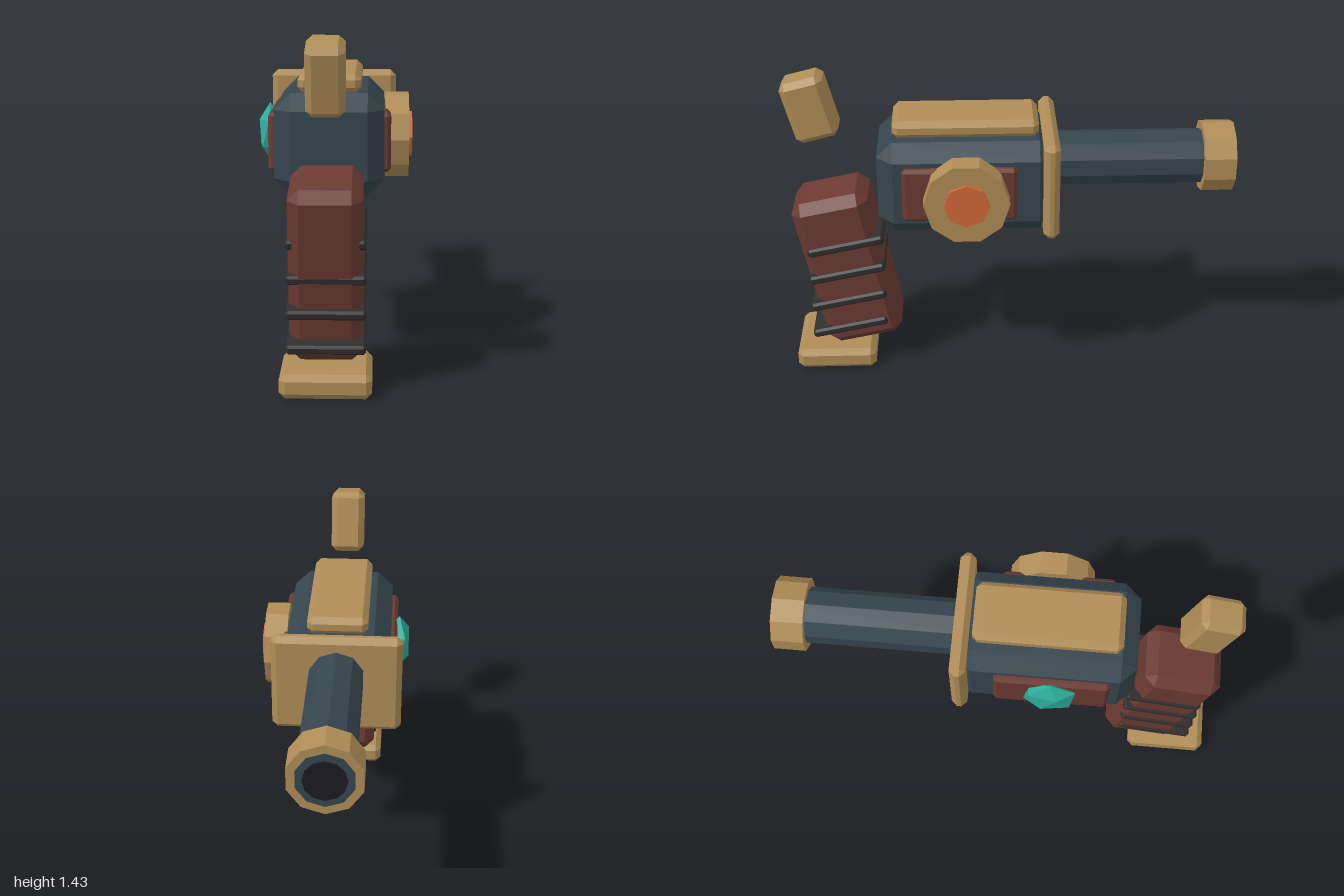
import * as THREE from 'three';
import { ConvexGeometry } from 'three/addons/geometries/ConvexGeometry.js';

const material = (name, color) => {
  const m = new THREE.MeshStandardMaterial({ color });
  m.name = name;
  return m;
};

// Box with every edge and corner cut at 45 degrees
function chamferBox(w, h, d, c) {
  const [x, y, z] = [w / 2, h / 2, d / 2];
  const pts = [];
  for (const i of [-1, 1]) for (const j of [-1, 1]) for (const k of [-1, 1]) {
    pts.push(
      new THREE.Vector3(i * x, j * (y - c), k * (z - c)),
      new THREE.Vector3(i * (x - c), j * y, k * (z - c)),
      new THREE.Vector3(i * (x - c), j * (y - c), k * z)
    );
  }
  return new ConvexGeometry(pts);
}

// Faceted cylinder along x or z
function prism(radius, length, sides, axis) {
  const g = new THREE.CylinderGeometry(radius, radius, length, sides).toNonIndexed();
  if (axis === 'z') g.rotateX(Math.PI / 2);
  else g.rotateZ(-Math.PI / 2);
  g.computeVertexNormals();
  return g;
}

export function createModel() {
  const steel = material('blue steel', 0x36454f);
  const brass = material('brass', 0xb08d57);
  const leather = material('red brown', 0x6b3a32);
  const strap = material('dark strap', 0x302e2d);
  const glow = material('orange', 0xd2693a);
  const jewel = material('teal', 0x2cae9c);
  const black = material('bore black', 0x1a1a22);

  const model = new THREE.Group();
  model.name = 'pistol';
  const CX = -0.021;
  const add = (name, geometry, mat, x, y, z, tilt = 0) => {
    const mesh = new THREE.Mesh(geometry, mat);
    mesh.name = name;
    mesh.position.set(x, y, z);
    mesh.rotation.x = tilt;
    model.add(mesh);
    return mesh;
  };

  // Receiver with top rail and barrel plate
  add('body', chamferBox(0.46, 0.43, 0.78, 0.07), steel, CX, 0.945, 0.2);
  add('topRail', chamferBox(0.265, 0.08, 0.64, 0.025), brass, CX, 1.197, 0.2);
  add('barrelPlate', chamferBox(0.57, 0.455, 0.07, 0.025), brass, CX, 0.957, -0.17);

  // Barrel, muzzle ring and bore
  add('barrel', prism(0.123, 0.843, 10, 'z'), steel, CX, 1.0, -0.5715);
  add('muzzleRing', prism(0.16, 0.14, 10, 'z'), brass, CX, 1.0, -0.92);
  add('bore', prism(0.09, 0.03, 12, 'z'), black, CX, 1.0, -0.984);

  // Side panels
  for (const s of [-1, 1]) {
    add(s > 0 ? 'leftPanel' : 'rightPanel', chamferBox(0.05, 0.25, 0.5, 0.015),
      leather, CX + s * 0.233, 0.945, 0.23);
  }

  // Dial with glowing centre
  add('dial', prism(0.187, 0.102, 10, 'x'), brass, 0.264, 0.942, 0.2);
  add('dialCore', prism(0.1, 0.04, 8, 'x'), glow, 0.31, 0.942, 0.2);

  // Faceted gem, flattened against the panel
  const gem = new THREE.IcosahedronGeometry(1, 0);
  gem.rotateZ(Math.PI / 2).rotateX(0.55).scale(0.053, 0.129, 0.124);
  gem.computeVertexNormals();
  add('gem', gem, jewel, -0.287, 0.955, 0.225);

  // Slanted grip, straps and base
  add('grip', chamferBox(0.298, 0.746, 0.348, 0.045), leather, CX - 0.002, 0.496, 0.748, 0.2);
  for (let i = 0; i < 4; i++) {
    add('gripStrap', chamferBox(0.32, 0.04, 0.35, 0.01), strap, CX, 0.212 + i * 0.1427, 0.748, 0.2);
  }
  add('gripBase', chamferBox(0.37, 0.1, 0.364, 0.025), brass, CX, 0.05, 0.818);

  // Hammer
  add('hammer', chamferBox(0.155, 0.287, 0.193, 0.026), brass, CX - 0.001, 1.27, 0.877, 0.25);

  return model;
}
